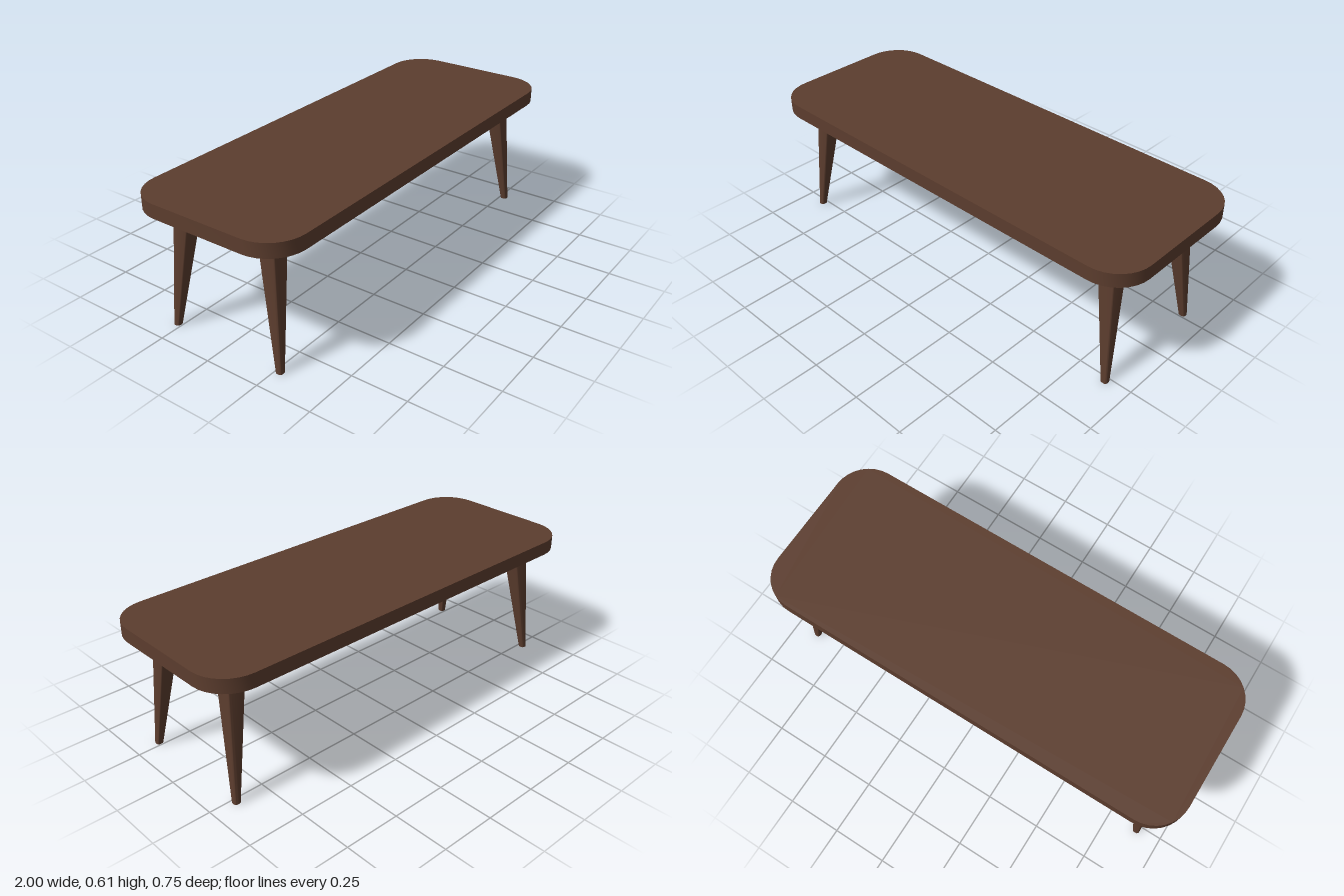
import * as THREE from 'three';
import { toCreasedNormals } from 'three/addons/utils/BufferGeometryUtils.js';

const LEG_TOP = 0.55;

// Upright prism with a rounded rectangular plan, standing on y = 0
function roundedPrism(halfX, halfZ, radius, height, segments) {
  const x = halfX - radius, z = halfZ - radius, q = Math.PI / 2;
  const shape = new THREE.Shape();
  shape.absarc(x, z, radius, 0, q);
  shape.absarc(-x, z, radius, q, 2 * q);
  shape.absarc(-x, -z, radius, 2 * q, 3 * q);
  shape.absarc(x, -z, radius, 3 * q, 4 * q);
  shape.closePath();
  const geometry = new THREE.ExtrudeGeometry(shape, { depth: height, bevelEnabled: false, curveSegments: segments });
  return geometry.rotateX(-Math.PI / 2);
}

// Splayed leg: square with softened corners, tapering so the foot is nearly round
function legGeometry(sideX, sideZ) {
  const topHalf = 0.043, footHalf = 0.0155;
  const geometry = roundedPrism(topHalf, topHalf, 0.012, LEG_TOP, 3);
  const p = geometry.attributes.position;
  for (let i = 0; i < p.count; i++) {
    const t = 1 - p.getY(i) / LEG_TOP;
    const inset = t * (topHalf - footHalf);
    const x = p.getX(i), z = p.getZ(i);
    p.setX(i, x - Math.sign(x) * inset + sideX * (0.83 + 0.06 * t));
    p.setZ(i, z - Math.sign(z) * inset + sideZ * (0.21 + 0.061 * t));
  }
  return toCreasedNormals(geometry, 0.7);
}

export function createModel() {
  const group = new THREE.Group();
  group.name = 'lowTable';

  const wood = new THREE.MeshStandardMaterial({ color: 0x5c3d2e });
  wood.name = 'darkWood';

  // Slab with rounded corners
  const top = new THREE.Mesh(toCreasedNormals(roundedPrism(1, 0.377, 0.16, 0.062, 4), 0.7), wood);
  top.name = 'tableTop';
  top.position.y = 0.548;
  group.add(top);

  // Four legs leaning outwards
  for (const [sideX, nameX] of [[1, 'Left'], [-1, 'Right']]) {
    for (const [sideZ, nameZ] of [[1, 'front'], [-1, 'back']]) {
      const leg = new THREE.Mesh(legGeometry(sideX, sideZ), wood);
      leg.name = `${nameZ}${nameX}Leg`;
      group.add(leg);
    }
  }
  return group;
}
